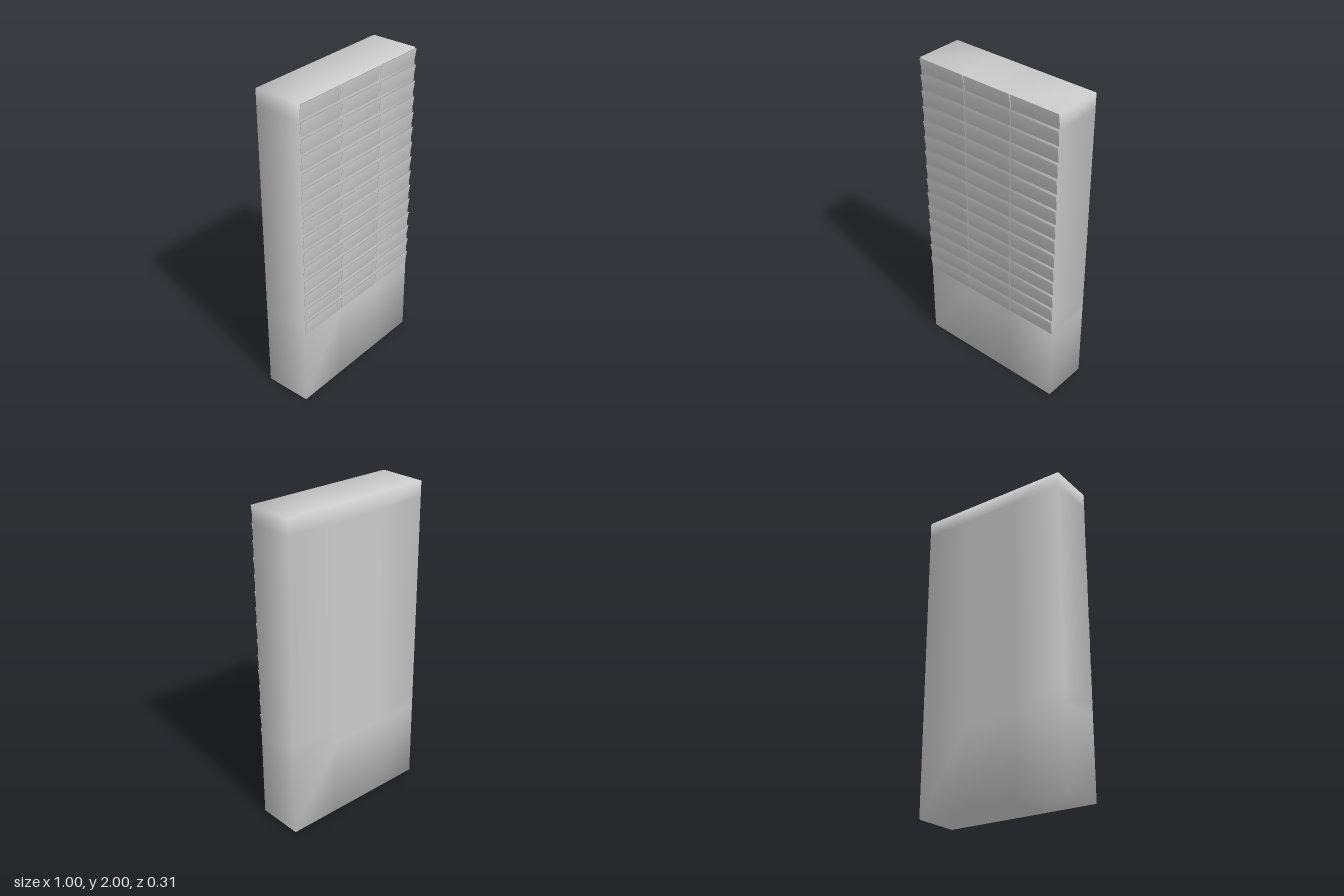
import * as THREE from 'three';
import { mergeVertices } from 'three/addons/utils/BufferGeometryUtils.js';

const COLS = 3, ROWS = 15, PITCH_X = 1 / COLS, PITCH_Y = 0.1, BASE = 0.5;

// Box whose faces share vertices, so shading runs softly around the edges
function softBox(w, h, d, sx = 1, sy = 1, sz = 1, move) {
  const g = new THREE.BoxGeometry(w, h, d, sx, sy, sz);
  g.deleteAttribute('normal');
  g.deleteAttribute('uv');
  if (move) move(g.attributes.position);
  const merged = mergeVertices(g, 1e-4);
  merged.computeVertexNormals();
  return merged;
}

export function createModel() {
  const model = new THREE.Group();
  model.name = 'slattedTower';
  const material = new THREE.MeshStandardMaterial({ color: 0xcccccc });

  // Body: one tall plinth row, then one row per line of slats
  const bodyGeometry = softBox(1, 2, 0.3, COLS, ROWS + 1, 1, (p) => {
    for (let i = 0; i < p.count; i++) {
      const row = Math.round((p.getY(i) + 1) / 2 * (ROWS + 1));
      p.setY(i, row === 0 ? 0 : BASE + (row - 1) * PITCH_Y);
    }
  });
  const body = new THREE.Mesh(bodyGeometry, material);
  body.name = 'body';
  body.position.z = -0.007;
  model.add(body);

  // Thin front slats, tipped outward at the top
  const slats = new THREE.Group();
  slats.name = 'slats';
  const slatGeometry = softBox(0.323, 0.091, 0.005);
  for (let r = 0; r < ROWS; r++) {
    for (let c = 0; c < COLS; c++) {
      const slat = new THREE.Mesh(slatGeometry, material);
      slat.name = 'slat';
      slat.position.set((c - (COLS - 1) / 2) * PITCH_X, BASE + (r + 0.5) * PITCH_Y + 0.002, 0.1477);
      slat.rotation.x = 0.15;
      slats.add(slat);
    }
  }
  model.add(slats);
  return model;
}
